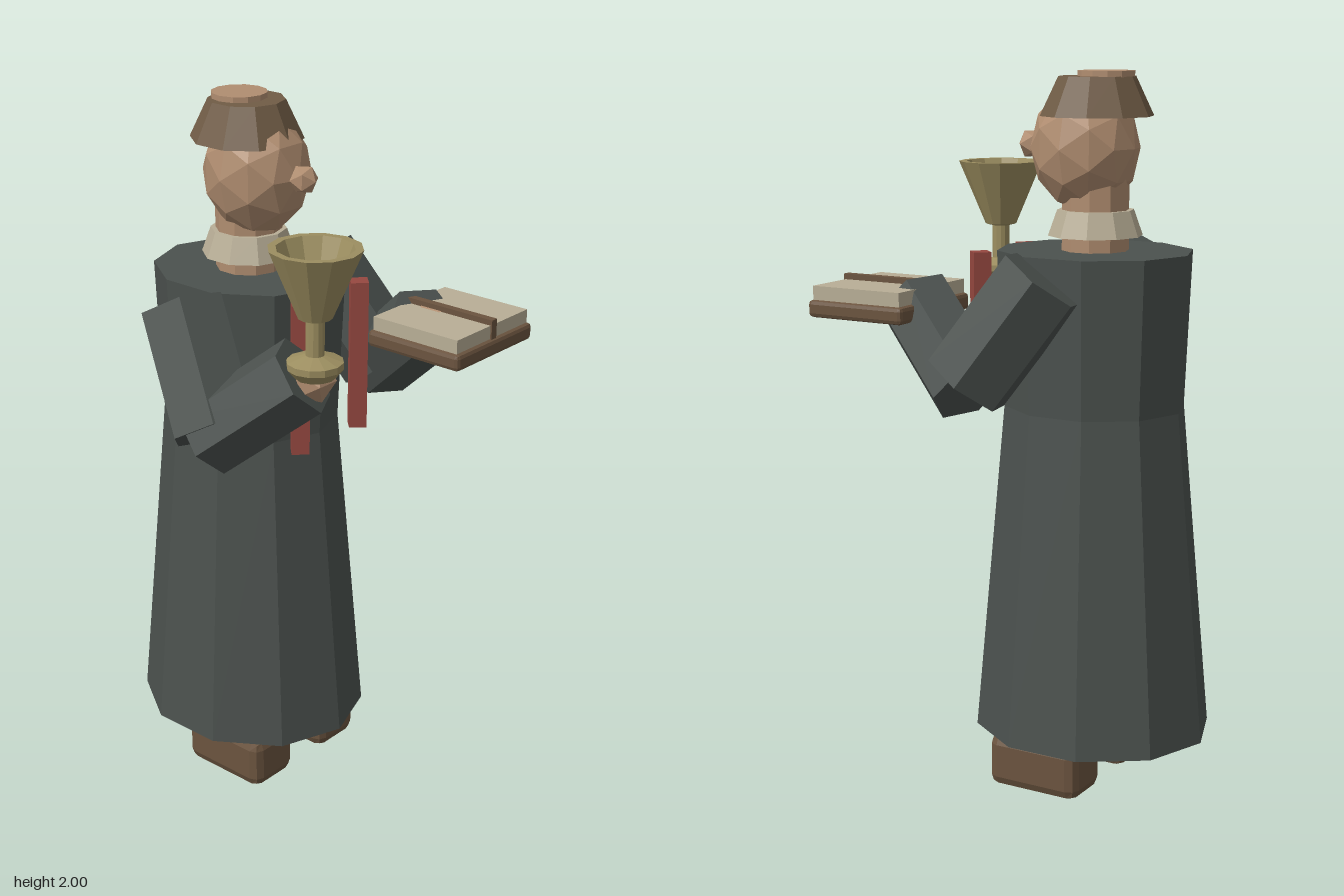
import * as THREE from 'three';
import { RoundedBoxGeometry } from 'three/addons/geometries/RoundedBoxGeometry.js';

const mat = (color, side = THREE.FrontSide) =>
  new THREE.MeshStandardMaterial({ color, flatShading: true, side });

export function createModel() {
  const group = new THREE.Group();
  const robe = mat(0x4b514e), skin = mat(0xb08d70), leather = mat(0x6b543f), cloth = mat(0x705c46);
  const red = mat(0x964840), linen = mat(0xb8ae96), brass = mat(0x9c8e60, THREE.DoubleSide);

  function add(name, geometry, material, x, y, z) {
    const mesh = new THREE.Mesh(geometry, material);
    mesh.name = name;
    mesh.position.set(x, y, z);
    group.add(mesh);
    return mesh;
  }

  // Faceted upright cylinder with a corner towards +x, from y0 to y1
  function drum(name, material, x, y0, y1, r0, r1, sides = 10, depth = 1) {
    const g = new THREE.CylinderGeometry(r1, r0, y1 - y0, sides, 1, false, Math.PI / 2);
    return add(name, g.scale(1, 1, depth), material, x, (y0 + y1) / 2, 0);
  }

  // Six-sided sleeve section between two points, flat side outwards
  function sleeve(name, a, b, r) {
    const from = new THREE.Vector3(...a), to = new THREE.Vector3(...b);
    const dir = to.clone().sub(from);
    const g = new THREE.CylinderGeometry(r, r, dir.length(), 6, 1, false, Math.PI / 6);
    const mid = from.add(to).multiplyScalar(0.5);
    const mesh = add(name, g, robe, mid.x, mid.y, mid.z);
    mesh.quaternion.setFromUnitVectors(new THREE.Vector3(0, 1, 0), dir.normalize());
  }

  // Robe, flared below the chest
  drum('robeSkirt', robe, -0.157, 0.16, 1.09, 0.343, 0.258, 10, 0.9);
  drum('robeChest', robe, -0.157, 1.09, 1.52, 0.258, 0.277, 10, 0.9);

  // Neck, collar, head and hat
  drum('neck', skin, -0.157, 1.48, 1.75, 0.092, 0.092);
  drum('collar', linen, -0.157, 1.56, 1.63, 0.13, 0.105);
  const head = add('head', new THREE.IcosahedronGeometry(0.15, 1), skin, -0.125, 1.795, 0);
  head.scale.set(1, 1.17, 0.98);
  const nose = add('nose', new THREE.IcosahedronGeometry(0.041, 0), skin, 0.041, 1.8, 0);
  nose.rotation.y = Math.atan2(1, (1 + Math.sqrt(5)) / 2);
  drum('hat', cloth, -0.16, 1.88, 1.985, 0.155, 0.105);
  drum('crown', skin, -0.187, 1.95, 2.0, 0.077, 0.077, 12);

  // Paired parts: feet, stole bands, arms and hands
  for (const s of [-1, 1]) {
    add('foot', new RoundedBoxGeometry(0.28, 0.155, 0.165, 1, 0.03), leather, -0.08, 0.0775, s * 0.1425);
    const band = add('stoleBand', new THREE.BoxGeometry(0.049, 0.425, 0.049), red, 0.135, 1.298, s * 0.122);
    band.rotation.y = Math.PI / 4;
    sleeve('upperSleeve', [-0.15, 1.47, s * 0.27], [0.04, 1.19, s * 0.35], 0.125);
    sleeve('foreSleeve', [0.02, 1.175, s * 0.365], [0.26, 1.38, s * 0.255], 0.11);
    add('hand', new THREE.IcosahedronGeometry(0.065, 0), skin, 0.285, 1.375, s * 0.25);
  }

  // Open book lying on one hand
  add('bookCover', new RoundedBoxGeometry(0.305, 0.048, 0.342, 1, 0.012), leather, 0.343, 1.366, -0.262);
  for (const s of [-1, 1])
    add('bookPages', new THREE.BoxGeometry(0.28, 0.04, 0.15), linen, 0.343, 1.408, -0.262 + s * 0.085);
  add('bookSpine', new THREE.BoxGeometry(0.295, 0.055, 0.022), leather, 0.34, 1.416, -0.262);

  // Goblet with a hollow cup held in the other hand
  const profile = [[0, 1.385], [0.055, 1.385], [0.075, 1.41], [0.075, 1.428], [0.025, 1.445], [0.025, 1.54],
    [0.045, 1.545], [0.122, 1.728], [0.101, 1.728], [0.04, 1.58], [0, 1.58]];
  const points = profile.map(([r, y]) => new THREE.Vector2(r, y));
  add('goblet', new THREE.LatheGeometry(points, 12), brass, 0.295, 0, 0.25);

  return group;
}
